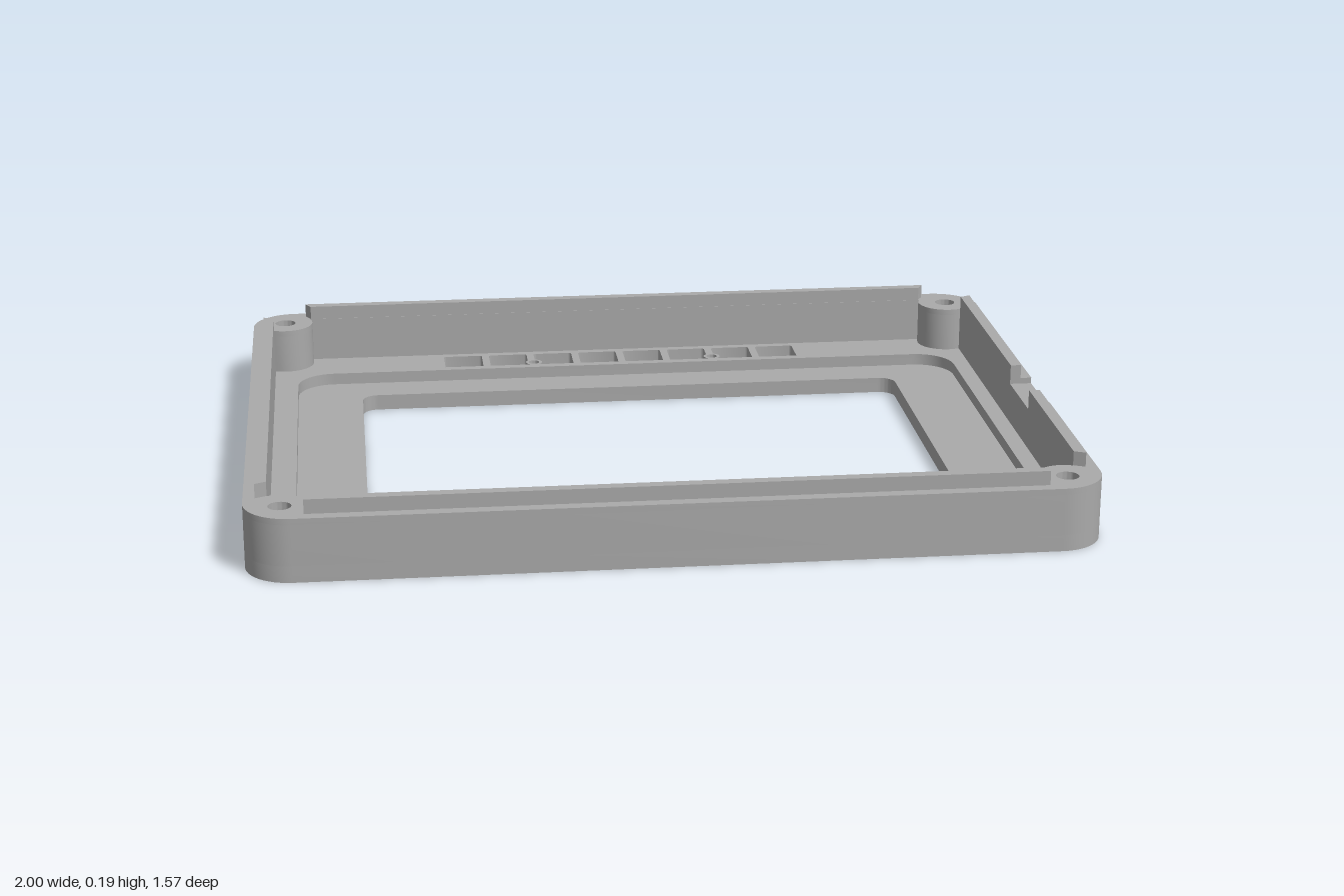
import * as THREE from 'three';
import { toCreasedNormals } from 'three/addons/utils/BufferGeometryUtils.js';

const W = 1, D = 0.785;               // outer half sizes
const IW = 0.945, ID = 0.731;         // inner wall half sizes
const FLOOR = 0.04, NOTCH = 0.14, RIM = 0.155, LIP = 0.19;
const BX = 0.915, BZ = 0.7, BR = 0.073; // screw bosses
const NZ0 = -0.02, NZ1 = 0.18;        // cable notch along z
const signs = [[1, 1], [-1, 1], [-1, -1], [1, -1]];

// Four arcs, one per corner, counter-clockwise; plan y is -z
function cornerArcs(cx, cy, r, a0, a1, n = 12) {
  const pts = [];
  signs.forEach(([sx, sy], k) => {
    for (let i = 0; i <= n; i++) {
      const a = a0 + (a1 - a0) * i / n + k * Math.PI / 2;
      pts.push(new THREE.Vector2(sx * cx + r * Math.cos(a), sy * cy + r * Math.sin(a)));
    }
  });
  return pts;
}

const roundRect = (hw, hd, r, cz = 0) =>
  cornerArcs(hw - r, hd - r, r, 0, Math.PI / 2).map((p) => p.setY(p.y - cz));

const circle = (x, z, r) => new THREE.Path().absarc(x, -z, r, 0, Math.PI * 2);

// Inner wall outline, going round the screw bosses
function innerOutline() {
  const o = IW - BX, l = Math.sqrt(BR * BR - o * o);
  return cornerArcs(BX, BZ, BR, Math.atan2(-l, o), Math.atan2(o, -l) - Math.PI * 2);
}

export function createModel() {
  const group = new THREE.Group();
  const grey = new THREE.MeshStandardMaterial({ color: 0xaaaaaa });
  grey.name = 'grey plastic';

  // Extrude a plan outline from height y0 to y1
  function slab(name, pts, holes, y0, y1) {
    const shape = new THREE.Shape(pts);
    shape.holes.push(...holes);
    const geo = new THREE.ExtrudeGeometry(shape, { depth: y1 - y0, bevelEnabled: false, curveSegments: 24 });
    geo.rotateX(-Math.PI / 2).translate(0, y0, 0);
    const mesh = new THREE.Mesh(toCreasedNormals(geo, 0.5), grey);
    mesh.name = name;
    group.add(mesh);
  }

  const outer = roundRect(W, D, 0.11);
  const screwHoles = () => signs.map(([sx, sz]) => circle(sx * BX, sz * BZ, 0.027));

  // Face plate with the screen window and a row of button openings
  const openings = [new THREE.Path(roundRect(0.713, 0.48, 0.04, 0.08))];
  for (let i = 0; i < 8; i++) {
    const x = (i - 3.5) * 0.1237;
    openings.push(new THREE.Path(roundRect(0.052, 0.052, 0.008, -0.657).map((p) => p.setX(p.x + x))));
  }
  slab('facePlate', outer, openings, 0, FLOOR);

  // Side wall and bosses, with the top layer left open at the notch
  slab('wall', outer, [new THREE.Path(innerOutline()), ...screwHoles()], FLOOR, NOTCH);
  const v = (x, z) => new THREE.Vector2(x, -z);
  const open = [v(W, NZ0), ...outer, v(W, NZ1), v(IW, NZ1), ...innerOutline().reverse(), v(IW, NZ0)];
  slab('wallTop', open, screwHoles(), NOTCH, RIM);

  // Raised locating lips between the bosses
  const lx = 0.972, lz = 0.757;
  for (const s of [1, -1]) {
    slab('lip', [v(-0.86, s * lz), v(0.86, s * lz), v(0.846, s * ID), v(-0.846, s * ID)], [], RIM, LIP);
  }
  slab('leftLip', [v(-lx, -0.645), v(-lx, 0.645), v(-IW, 0.632), v(-IW, -0.632)], [], RIM, LIP);
  slab('sideLipFront', [v(lx, NZ1), v(lx, 0.645), v(IW, 0.632), v(IW, NZ1)], [], RIM, LIP);
  slab('sideLipBack', [v(lx, -0.645), v(lx, NZ0), v(IW, NZ0), v(IW, -0.632)], [], RIM, LIP);

  // Rib framing the screen
  slab('screenRib', roundRect(0.908, 0.607, 0.12, 0.08),
    [new THREE.Path(roundRect(0.882, 0.584, 0.095, 0.08))], FLOOR, 0.07);

  // Small hollow posts beside the buttons
  for (const x of [-0.245, 0.243]) {
    slab('post', circle(x, -0.577, 0.022).getPoints(12), [circle(x, -0.577, 0.014)], FLOOR, 0.06);
  }
  return group;
}
